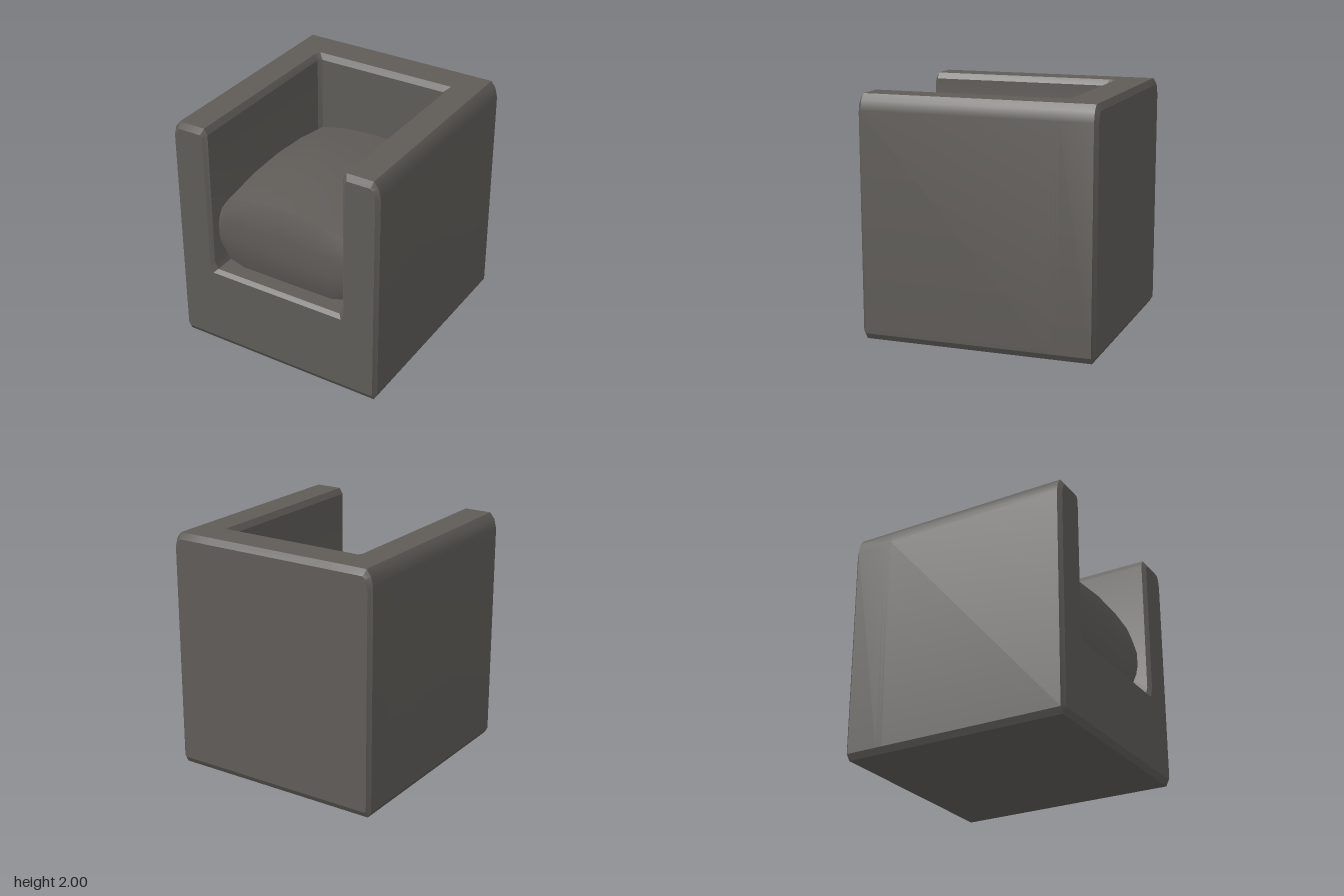
import * as THREE from 'three';
import { toCreasedNormals } from 'three/addons/utils/BufferGeometryUtils.js';

// Mirror a right-hand half profile (bottom to middle) into a closed ring
function mirror(half) {
  const left = half.filter(p => p[0] !== 0).reverse().map(([x, y]) => [-x, y]);
  return half.concat(left);
}

// Skin a list of [z, ring] sections, back to front, and cap both ends
function loft(sections, crease) {
  const pos = [];
  const a = new THREE.Vector3(), b = new THREE.Vector3();
  const tri = (p, q, r) => {
    a.subVectors(q, p);
    b.subVectors(r, p);
    if (a.cross(b).length() < 1e-7) return;
    for (const v of [p, q, r]) pos.push(v.x, v.y, v.z);
  };
  const rings = sections.map(([z, ring]) => ring.map(([x, y]) => new THREE.Vector3(x, y, z)));
  for (let s = 0; s < rings.length - 1; s++) {
    const r0 = rings[s], r1 = rings[s + 1], n = r0.length;
    for (let i = 0; i < n; i++) {
      const j = (i + 1) % n;
      tri(r0[i], r0[j], r1[j]);
      tri(r0[i], r1[j], r1[i]);
    }
  }
  const cap = (ring, flip) => {
    const flat = ring.map(v => new THREE.Vector2(v.x, v.y));
    for (const [i, j, k] of THREE.ShapeUtils.triangulateShape(flat, [])) {
      if (flip) tri(ring[i], ring[k], ring[j]);
      else tri(ring[i], ring[j], ring[k]);
    }
  };
  cap(rings[0], true);
  cap(rings[rings.length - 1], false);
  const geo = new THREE.BufferGeometry();
  geo.setAttribute('position', new THREE.Float32BufferAttribute(pos, 3));
  geo.computeVertexNormals();
  return toCreasedNormals(geo, crease);
}

// Arms, back and base as one chamfered block with a seat opening
function frameGeometry() {
  const outer = [[0.90, 0], [0.93, 0.05], [0.93, 1.87], [0.91, 1.95], [0.87, 2]];
  const inset = [[0.89, 0.05], [0.90, 0.07], [0.90, 1.85], [0.885, 1.92], [0.86, 1.95]];
  const ring = (o, inner) => mirror([...o, ...inner]);
  const closed = [[0.64, 2], [0.62, 2], [0.60, 2], [0.58, 2]];
  const open = [[0.64, 2], [0.61, 1.95], [0.61, 0.78], [0.58, 0.72]];
  return loft([
    [-0.98, ring(inset, closed.map(([x]) => [x, 1.95]))],
    [-0.95, ring(outer, closed)],
    [-0.68, ring(outer, closed)],
    [-0.65, ring(outer, [[0.64, 2], [0.58, 1.95], [0.58, 1.95], [0.58, 1.95]])],
    [-0.65, ring(outer, [[0.64, 2], [0.58, 1.95], [0.58, 0.78], [0.58, 0.72]])],
    [-0.62, ring(outer, open)],
    [0.95, ring(outer, open)],
    [0.98, ring(inset, [[0.66, 1.95], [0.64, 1.92], [0.64, 0.77], [0.61, 0.69]])],
  ], 0.5);
}

// Seat cushion with a crowned top and a bulging front
function cushionGeometry() {
  const ring = (crown, squash = 1) => {
    const d = crown - 1.40;
    const half = [[0.42, 0.72], [0.55, 0.76], [0.61, 0.85], [0.61, 1.23 + d],
      [0.54, 1.33 + d], [0.31, 1.38 + d], [0, 1.40 + d]];
    return mirror(half.map(([x, y]) => [x, 1.06 + (y - 1.06) * squash]));
  };
  return loft([
    [-0.63, ring(1.36, 0.95)],
    [-0.59, ring(1.41)],
    [-0.25, ring(1.465)],
    [0.1, ring(1.485)],
    [0.45, ring(1.465)],
    [0.82, ring(1.40)],
    [0.855, ring(1.40, 0.65)],
    [0.87, ring(1.40, 0.3)],
  ], 0.6);
}

export function createModel() {
  const group = new THREE.Group();
  group.name = 'armchair';
  const upholstery = new THREE.MeshStandardMaterial({ color: 0x5f5c58 });
  upholstery.name = 'charcoal upholstery';

  const frame = new THREE.Mesh(frameGeometry(), upholstery);
  frame.name = 'armsBackAndBase';
  const cushion = new THREE.Mesh(cushionGeometry(), upholstery);
  cushion.name = 'seatCushion';
  group.add(frame, cushion);
  return group;
}
